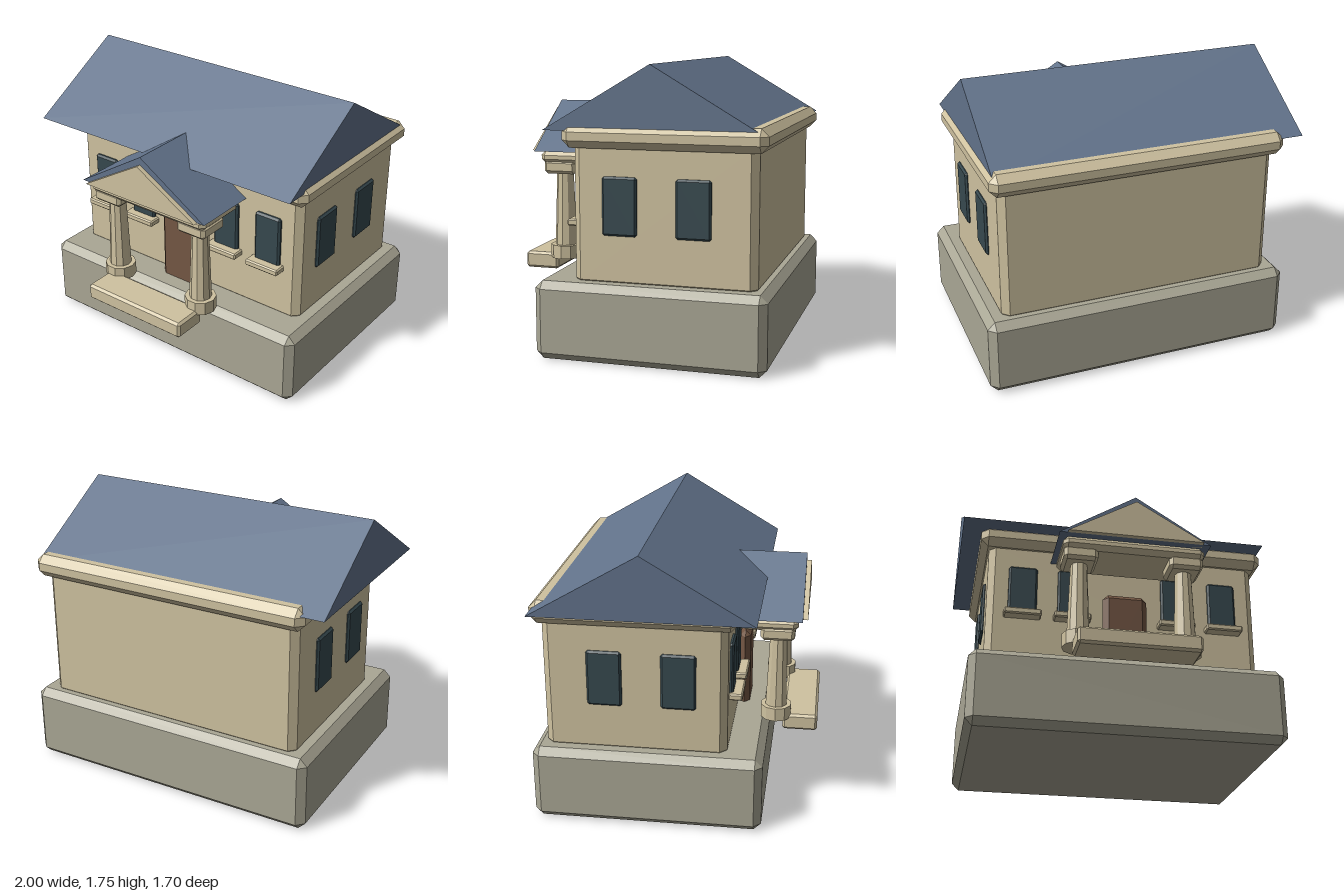
import * as THREE from 'three';
import { ConvexGeometry } from 'three/addons/geometries/ConvexGeometry.js';

const mat = (name, color) => {
  const m = new THREE.MeshStandardMaterial({ color, flatShading: true });
  m.name = name;
  return m;
};

// Box between two limits on each axis, with all edges chamfered by b
function chamferBox([x0, x1], [y0, y1], [z0, z1], b) {
  const pts = [];
  for (const sx of [-1, 1]) for (const sy of [-1, 1]) for (const sz of [-1, 1]) {
    const x = sx < 0 ? x0 : x1, y = sy < 0 ? y0 : y1, z = sz < 0 ? z0 : z1;
    pts.push(
      new THREE.Vector3(x, y - sy * b, z - sz * b),
      new THREE.Vector3(x - sx * b, y, z - sz * b),
      new THREE.Vector3(x - sx * b, y - sy * b, z));
  }
  return new ConvexGeometry(pts);
}

// Triangular prism along z
function gable(halfWidth, height, depth) {
  const s = new THREE.Shape();
  s.moveTo(-halfWidth, 0);
  s.lineTo(halfWidth, 0);
  s.lineTo(0, height);
  s.closePath();
  return new THREE.ExtrudeGeometry(s, { depth, bevelEnabled: false });
}

export function createModel() {
  const group = new THREE.Group();
  group.name = 'house';
  const stone = mat('sandstone', 0xcfc2a0);
  const grey = mat('foundation grey', 0xaaa795);
  const slate = mat('slate blue', 0x62738b);
  const glass = mat('dark glass', 0x37494f);
  const wood = mat('door brown', 0x745744);

  const add = (name, geometry, material, x = 0, y = 0, z = 0) => {
    const mesh = new THREE.Mesh(geometry, material);
    mesh.name = name;
    mesh.position.set(x, y, z);
    group.add(mesh);
    return mesh;
  };

  // Main body
  add('foundation', chamferBox([-0.925, 1], [0, 0.475], [-0.85, 0.545], 0.045), grey);
  add('walls', chamferBox([-0.825, 0.895], [0.44, 1.32], [-0.775, 0.325], 0.042), stone);
  add('cornice', chamferBox([-0.88, 0.95], [1.26, 1.4], [-0.835, 0.385], 0.045), stone);

  // Main roof, ridge along x
  const roof = gable(0.655, 0.385, 1.925);
  roof.rotateY(Math.PI / 2);
  add('mainRoof', roof, slate, -1, 1.36, -0.155);

  // Porch roof and pediment
  add('porchRoof', gable(0.47, 0.293, 0.435), slate, 0.035, 1.182, 0.3);
  add('pediment', gable(0.42, 0.245, 0.445), stone, 0.035, 1.182, 0.32);
  add('porchBeam', chamferBox([-0.405, 0.475], [1.1, 1.185], [0.355, 0.71], 0.03), stone);

  // Columns
  for (const x of [-0.293, 0.36]) {
    const shaft = new THREE.CylinderGeometry(0.052, 0.07, 0.5, 10).rotateY(Math.PI / 2);
    add('columnShaft', shaft, stone, x, 0.8, 0.585);
    const base = new THREE.CylinderGeometry(0.098, 0.098, 0.085, 10).rotateY(Math.PI / 2);
    add('columnBase', base, stone, x, 0.532, 0.585);
    add('columnCapital', chamferBox([-0.105, 0.105], [1.037, 1.125], [0.48, 0.69], 0.02), stone, x);
  }

  // Step and door
  add('step', chamferBox([-0.335, 0.4], [0.41, 0.515], [0.63, 0.85], 0.015), stone);
  add('door', chamferBox([-0.105, 0.175], [0.44, 0.97], [0.33, 0.4], 0.034), wood);

  // Front windows with sills
  for (const x of [-0.605, -0.295, 0.367, 0.675]) {
    add('frontWindow', chamferBox([-0.09, 0.09], [0.78, 1.13], [0.3, 0.348], 0.012), glass, x);
    add('windowSill', chamferBox([-0.116, 0.116], [0.777, 0.818], [0.32, 0.405], 0.008), stone, x);
  }

  // Side windows
  for (const z of [0.037, -0.405]) {
    const side = [0.753, 1.1], span = [-0.105, 0.105];
    add('leftWindow', chamferBox([0.865, 0.912], side, span, 0.012), glass, 0, 0, z);
    add('rightWindow', chamferBox([-0.842, -0.795], side, span, 0.012), glass, 0, 0, z);
  }
  return group;
}
